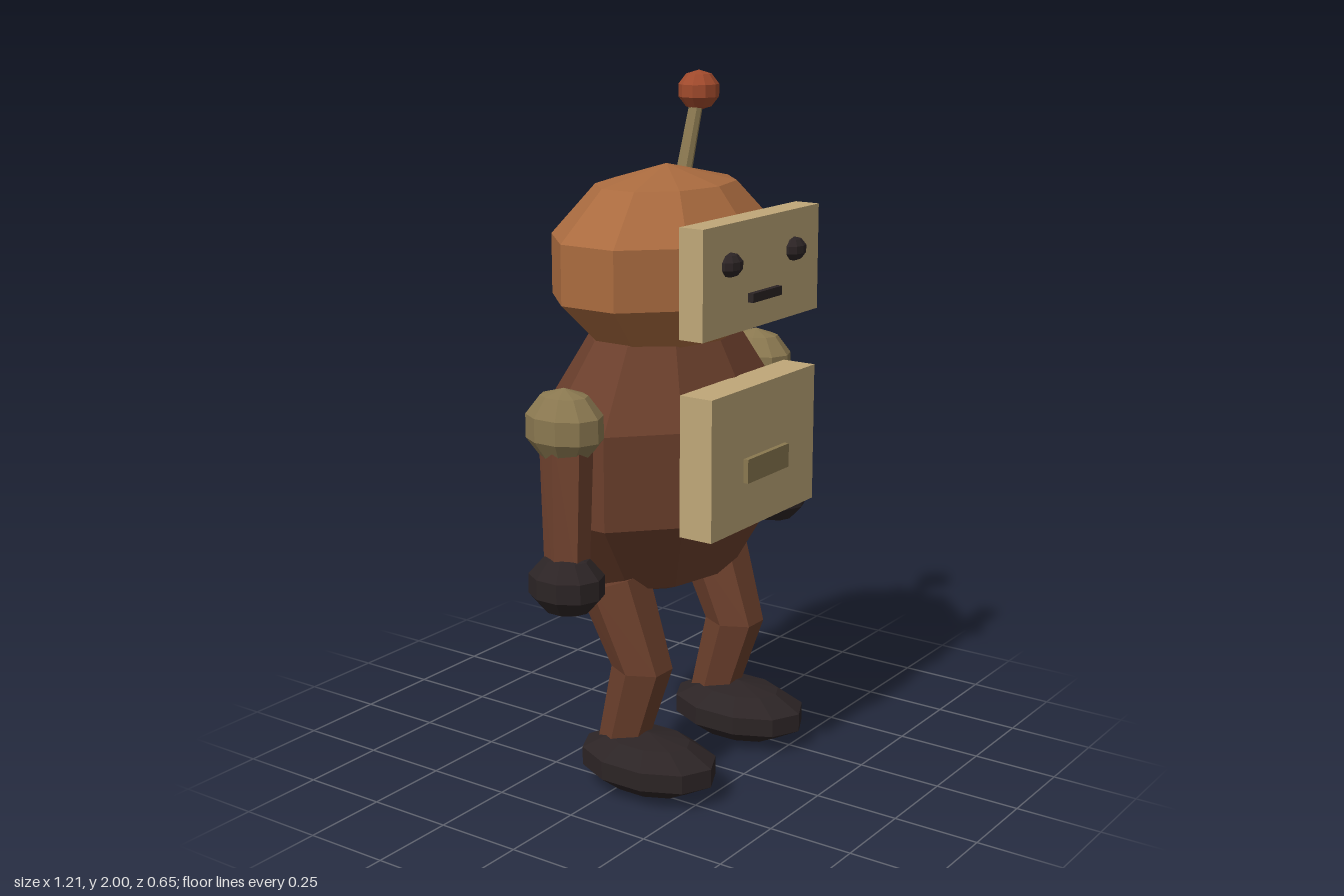
import * as THREE from 'three';

const mat = (name, color) => {
  const m = new THREE.MeshStandardMaterial({ color, flatShading: true });
  m.name = name;
  return m;
};

export function createModel() {
  const robot = new THREE.Group();
  robot.name = 'robot';
  const copper = mat('copper', 0xaa6b3f);
  const brown = mat('brown', 0x6b3f2c);
  const cream = mat('cream', 0xbfa778);
  const brass = mat('brass', 0x8a7850);
  const dark = mat('dark', 0x2c2425);
  const red = mat('red', 0xa04a2c);

  const add = (name, geometry, material) => {
    const mesh = new THREE.Mesh(geometry, material);
    mesh.name = name;
    robot.add(mesh);
    return mesh;
  };

  // Faceted ellipsoid with corners on the z axis
  const blob = (name, material, center, radii) => {
    const g = new THREE.SphereGeometry(1, 10, 5).rotateY(Math.PI / 2);
    g.scale(...radii).translate(...center);
    return add(name, g, material);
  };

  // Box given by its two opposite corners
  const plate = (name, material, a, b) => {
    const g = new THREE.BoxGeometry(b[0] - a[0], b[1] - a[1], b[2] - a[2]);
    g.translate((a[0] + b[0]) / 2, (a[1] + b[1]) / 2, (a[2] + b[2]) / 2);
    return add(name, g, material);
  };

  // Capped six-sided limb; rings: [x, y, z, radiusX, radiusZ, tilt]
  const limb = (name, material, rings) => {
    const n = 6, pos = [], index = [];
    for (const [x, y, z, rx, rz, tilt] of rings) {
      for (let i = 0; i < n; i++) {
        const a = (i / n) * Math.PI * 2;
        const dz = Math.sin(a) * rz;
        pos.push(x + Math.cos(a) * rx, y + dz * Math.sin(tilt), z + dz * Math.cos(tilt));
      }
    }
    for (let r = 0; r < rings.length - 1; r++) {
      for (let i = 0; i < n; i++) {
        const a = r * n + i, b = r * n + (i + 1) % n;
        index.push(a, b, a + n, b, b + n, a + n);
      }
    }
    const last = (rings.length - 1) * n;
    for (let i = 1; i < n - 1; i++) {
      index.push(0, i + 1, i, last, last + i, last + i + 1);
    }
    const g = new THREE.BufferGeometry();
    g.setAttribute('position', new THREE.Float32BufferAttribute(pos, 3));
    g.setIndex(index);
    g.computeVertexNormals();
    return add(name, g, material);
  };

  // Body and head
  blob('body', brown, [0, 0.945, -0.03], [0.457, 0.43, 0.31]);
  blob('head', copper, [0, 1.49, -0.025], [0.404, 0.27, 0.298]);

  // Chest panel with handle
  plate('chestPanel', cream, [-0.262, 0.787, 0.203], [0.262, 1.184, 0.306]);
  plate('chestHandle', brass, [-0.105, 0.92, 0.29], [0.105, 0.988, 0.321]);

  // Face
  plate('facePanel', cream, [-0.289, 1.342, 0.219], [0.289, 1.64, 0.294]);
  plate('mouth', dark, [-0.073, 1.416, 0.28], [0.073, 1.441, 0.311]);

  // Antenna
  const base = new THREE.Vector3(0.126, 1.7, -0.058);
  const tip = new THREE.Vector3(0.206, 1.943, -0.058);
  const stem = add('antennaStem', new THREE.CylinderGeometry(0.019, 0.023, base.distanceTo(tip), 8), brass);
  stem.position.copy(base).lerp(tip, 0.5);
  stem.quaternion.setFromUnitVectors(new THREE.Vector3(0, 1, 0), tip.clone().sub(base).normalize());
  blob('antennaBall', red, [0.206, 1.943, -0.058], [0.063, 0.057, 0.06]);

  // Paired parts
  for (const [side, s] of [['left', 1], ['right', -1]]) {
    blob(side + 'Eye', dark, [s * 0.16, 1.53, 0.293], [0.044, 0.034, 0.033]);

    blob(side + 'Shoulder', brass, [s * 0.47, 1.11, -0.025], [0.094, 0.105, 0.118]);
    limb(side + 'Arm', brown, [
      [s * 0.47, 1.11, -0.02, 0.062, 0.08, 0],
      [s * 0.515, 0.7, 0.012, 0.055, 0.063, 0],
    ]);
    blob(side + 'Hand', dark, [s * 0.515, 0.688, 0.01], [0.097, 0.089, 0.114]);

    limb(side + 'Leg', brown, [
      [s * 0.245, 0.608, -0.035, 0.1, 0.105, 0.36],
      [s * 0.238, 0.368, 0.057, 0.079, 0.09, 0],
      [s * 0.235, 0.1, -0.022, 0.064, 0.07, -0.2],
    ]);
    blob(side + 'Foot', dark, [s * 0.235, 0.087, 0.077], [0.149, 0.087, 0.226]);
  }

  return robot;
}
